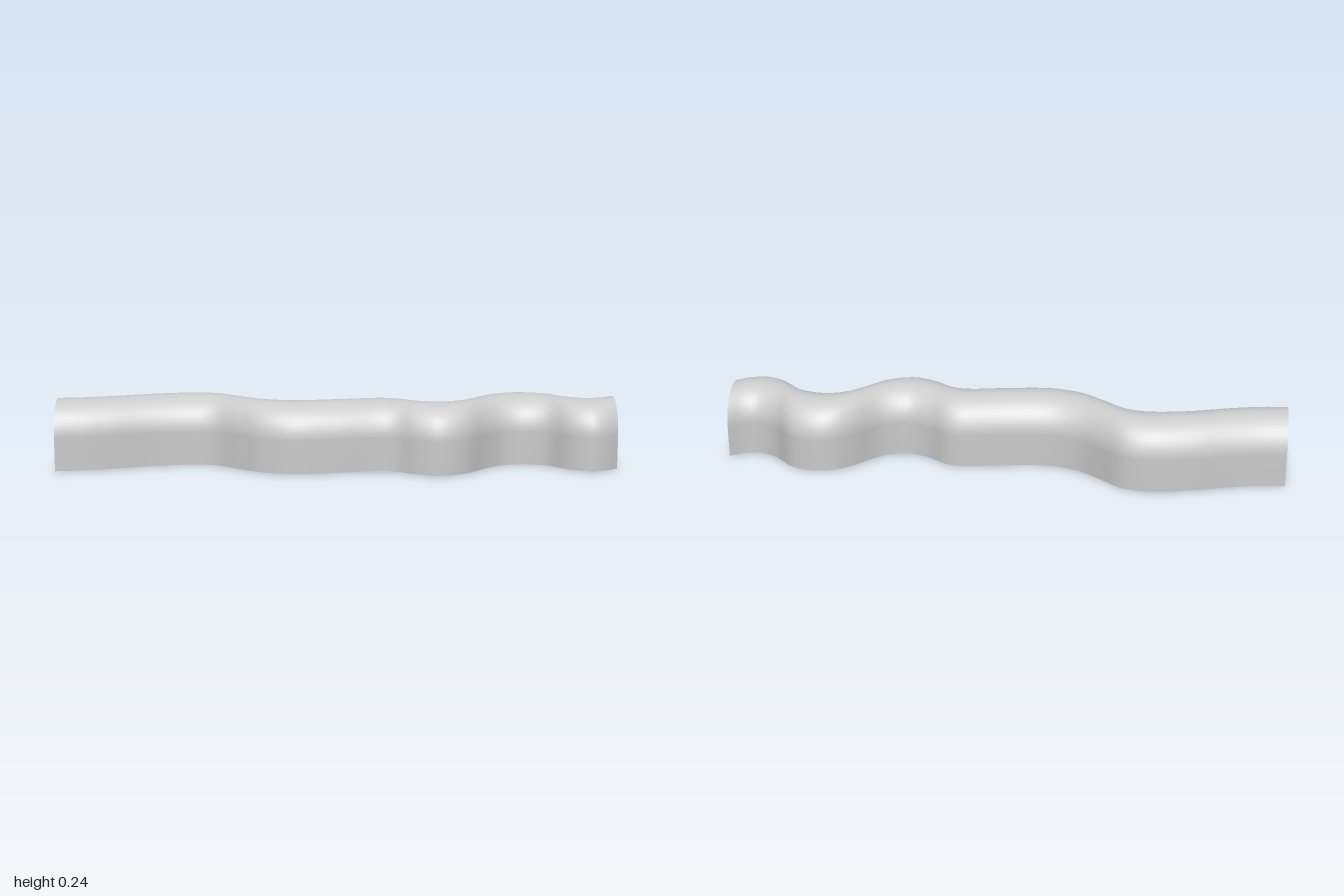
import * as THREE from 'three';

const HALF = 0.12;      // half width, wall height and vault radius
const STEPS = 96;       // segments along the tunnel
const ARC = 20;         // segments around the vault

// Winding centre line as (x, z)
const path = new THREE.CatmullRomCurve3([
  [-1, 0], [-0.9, -0.012], [-0.8, -0.035], [-0.66, -0.076], [-0.51, -0.098], [-0.43, -0.083], [-0.35, -0.025],
  [-0.27, 0.03], [-0.16, 0.06], [0, 0.045], [0.15, 0.02], [0.21, 0.031],
  [0.28, 0.075], [0.36, 0.098], [0.45, 0.067], [0.54, -0.022], [0.6, -0.064],
  [0.67, -0.078], [0.755, -0.056], [0.83, 0.012], [0.9, 0.04], [0.95, 0.03], [1, 0],
].map(([x, z]) => new THREE.Vector3(x, 0, z)));
const centre = path.getPoints(STEPS);

// Sweep a cross-section of (z, y) points along the centre line, keeping it in the z-y plane
function sweep(name, section, material) {
  const geometry = new THREE.PlaneGeometry(1, 1, STEPS, section.length - 1);
  const position = geometry.attributes.position;
  section.forEach(([z, y], row) => {
    centre.forEach((c, i) => position.setXYZ(row * (STEPS + 1) + i, c.x, y, c.z + z));
  });
  geometry.computeVertexNormals();
  const mesh = new THREE.Mesh(geometry, material);
  mesh.name = name;
  return mesh;
}

export function createModel() {
  const group = new THREE.Group();
  group.name = 'windingTunnel';
  const material = new THREE.MeshStandardMaterial({ color: 0xcccccc, side: THREE.DoubleSide });

  // Upright walls joined by a half-round vault, from back to front
  const shell = [[-HALF, 0]];
  for (let i = 0; i <= ARC; i++) {
    const a = Math.PI * (1 - i / ARC);
    shell.push([HALF * Math.cos(a), HALF + HALF * Math.sin(a)]);
  }
  shell.push([HALF, 0]);
  group.add(sweep('vaultedShell', shell, material));

  // Flat floor, facing down
  group.add(sweep('floor', [[HALF, 0], [-HALF, 0]], material));
  return group;
}
